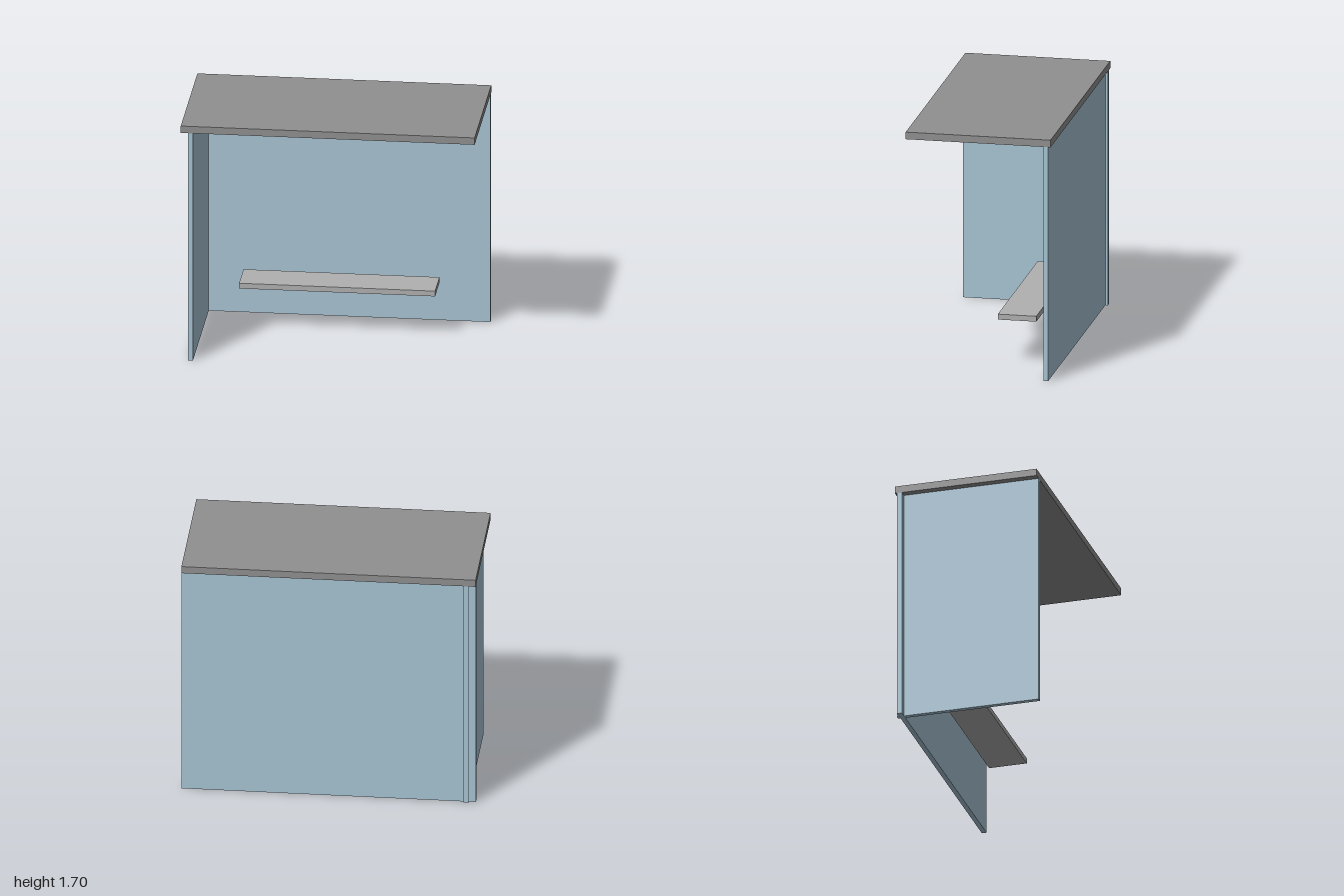
import * as THREE from 'three';

const material = (color) => new THREE.MeshStandardMaterial({ color });

// Adds a box given its extents [min, max] on each axis.
function addSlab(group, name, mat, [x0, x1], [y0, y1], [z0, z1]) {
  const mesh = new THREE.Mesh(new THREE.BoxGeometry(x1 - x0, y1 - y0, z1 - z0), mat);
  mesh.position.set((x0 + x1) / 2, (y0 + y1) / 2, (z0 + z1) / 2);
  mesh.name = name;
  group.add(mesh);
}

export function createModel() {
  const shelter = new THREE.Group();
  shelter.name = 'shelter';

  const glass = material(0xa8c4d4);
  const roofTop = 1.695;
  const wallTop = 1.645;

  // Back and side panels cross near the rear corner, each with a short overhang
  addSlab(shelter, 'backPanel', glass, [-1, 1], [0, wallTop], [-0.483, -0.45]);
  addSlab(shelter, 'sidePanel', glass, [-0.95, -0.917], [0, wallTop], [-0.5, 0.5]);

  // Flat roof over the whole footprint
  addSlab(shelter, 'roof', material(0x909090), [-1, 1], [wallTop, roofTop], [-0.5, 0.5]);

  // Bench seat in front of the back panel
  addSlab(shelter, 'bench', material(0xb0b0b0), [-0.667, 0.667], [0.317, 0.355], [-0.333, -0.067]);

  return shelter;
}
